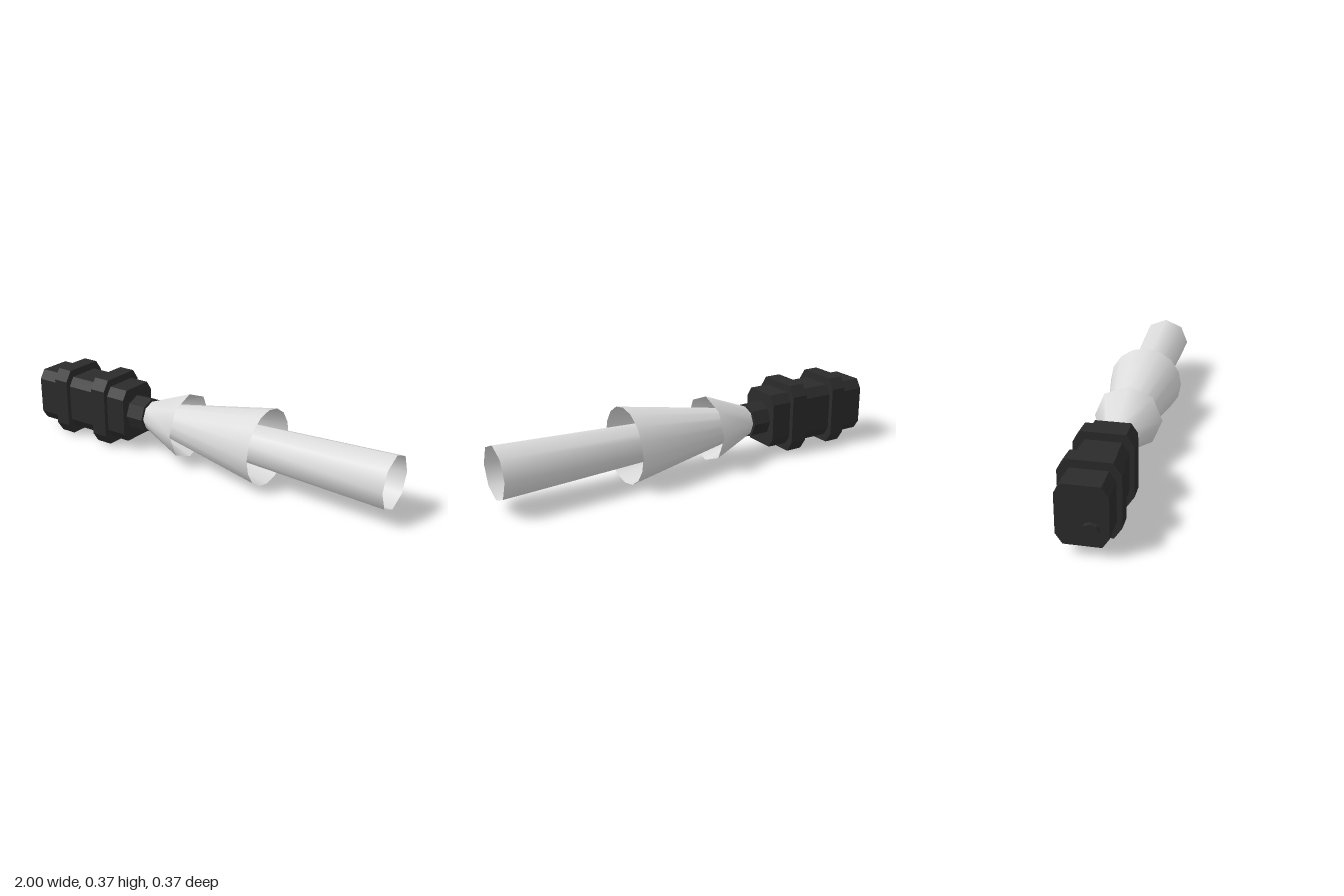
import * as THREE from 'three';

const AXIS_Y = 0.186;

export function createModel() {
  const root = new THREE.Group();
  const black = new THREE.MeshStandardMaterial({ color: 0x2b2b2b, flatShading: true });
  black.name = 'black casing';
  const pale = new THREE.MeshStandardMaterial({ color: 0xdcdcdc, side: THREE.DoubleSide });
  pale.name = 'pale grey cones';

  const add = (name, geometry, material, y = AXIS_Y, z = 0) => {
    const mesh = new THREE.Mesh(geometry, material);
    mesh.name = name;
    mesh.position.set(0, y, z);
    root.add(mesh);
  };

  // Chamfered block running along x
  const block = (x0, x1, hy, hz, cy, cz) => {
    const pts = [
      [hz, hy - cy], [hz - cz, hy], [cz - hz, hy], [-hz, hy - cy],
      [-hz, cy - hy], [cz - hz, -hy], [hz - cz, -hy], [hz, cy - hy],
    ];
    const shape = new THREE.Shape(pts.map(([a, b]) => new THREE.Vector2(a, b)));
    return new THREE.ExtrudeGeometry(shape, { depth: x1 - x0, bevelEnabled: false })
      .rotateY(Math.PI / 2).translate(x0, 0, 0);
  };

  // Tapered tube running along x from radius r0 to r1
  const taper = (x0, x1, r0, r1, sides, open) =>
    new THREE.CylinderGeometry(r1, r0, x1 - x0, sides, 1, open)
      .rotateZ(-Math.PI / 2).translate((x0 + x1) / 2, 0, 0);

  // Casing with two raised bands, a neck and a small rear stud
  add('body', block(-0.98, -0.41, 0.136, 0.111, 0.045, 0.03), black);
  add('rearBand', block(-0.85, -0.77, 0.173, 0.134, 0.053, 0.035), black);
  add('frontBand', block(-0.6, -0.515, 0.173, 0.134, 0.053, 0.035), black);
  add('neck', taper(-0.42, -0.315, 0.088, 0.088, 8, false), black);
  add('rearStud', taper(-1, -0.97, 0.038, 0.038, 8, false), black, 0.127, 0.036);

  // Three nested open cones, all starting at the neck
  add('shortCone', taper(-0.315, -0.08, 0.073, 0.165, 8, true), pale);
  add('middleCone', taper(-0.315, 0.37, 0.062, 0.186, 16, true), pale);
  add('longCone', taper(-0.315, 1, 0.073, 0.128, 8, true), pale);

  // Disc closing the inner end of the long cone
  add('innerCap', new THREE.CircleGeometry(0.073, 8).rotateY(Math.PI / 2).translate(-0.312, 0, 0), pale);

  return root;
}
